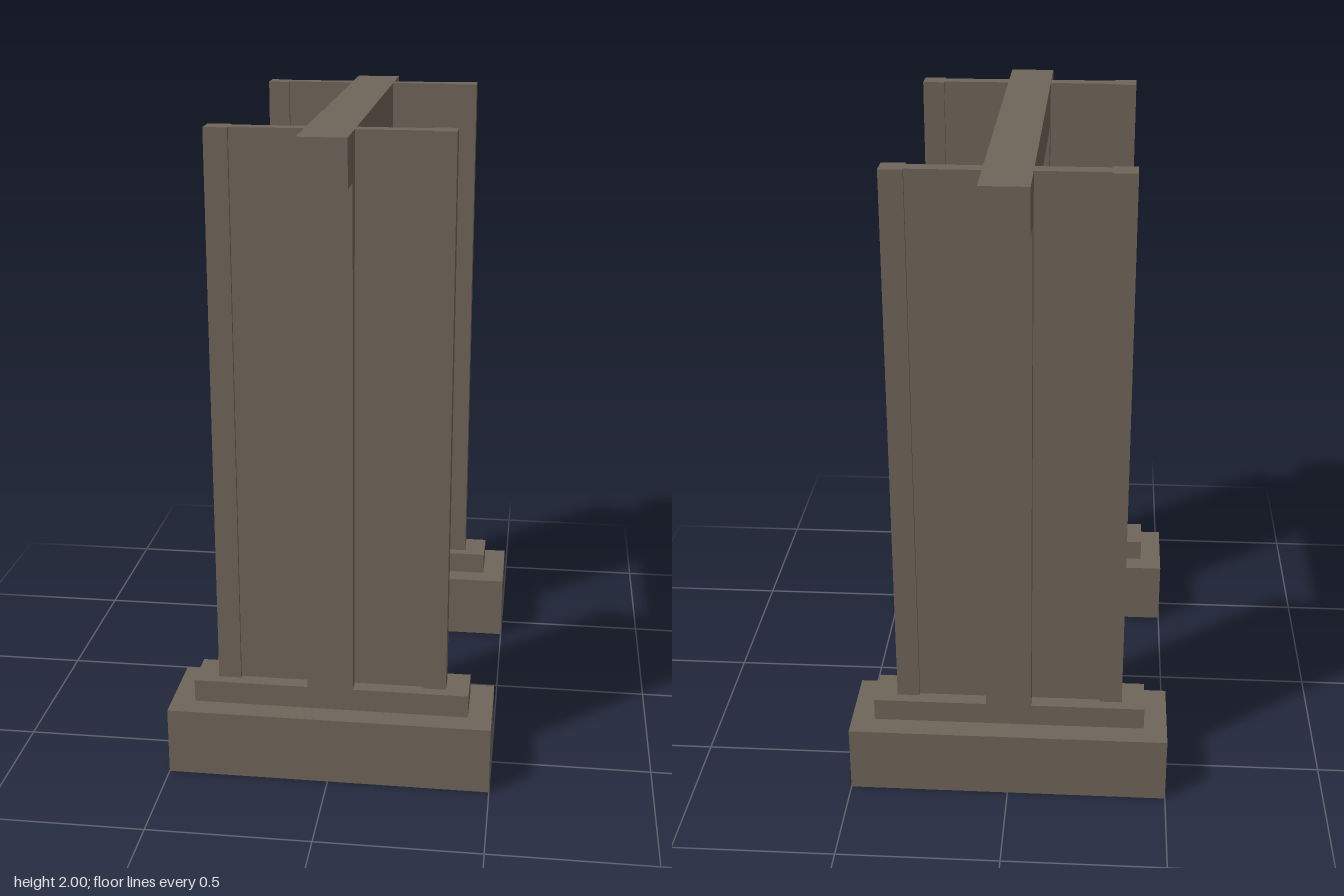
import * as THREE from 'three';

export function createModel() {
  const root = new THREE.Group();
  root.name = 'gateway';
  const stone = new THREE.MeshStandardMaterial({ color: 0x70665a });
  stone.name = 'brownStone';

  // Box given by its min and max on each axis
  function box(parent, name, [x0, x1], [y0, y1], [z0, z1]) {
    const mesh = new THREE.Mesh(new THREE.BoxGeometry(x1 - x0, y1 - y0, z1 - z0), stone);
    mesh.position.set((x0 + x1) / 2, (y0 + y1) / 2, (z0 + z1) / 2);
    mesh.name = name;
    parent.add(mesh);
  }

  // The two end piers, the back one turned half round
  for (const side of ['front', 'back']) {
    const pier = new THREE.Group();
    pier.name = side + 'Pier';
    box(pier, 'footing', [-0.5, 0.5], [0, 0.214], [0.395, 0.677]);
    box(pier, 'plinth', [-0.427, 0.427], [0.214, 0.286], [0.465, 0.606]);
    box(pier, 'centrePost', [-0.071, 0.071], [0.286, 1.86], [0.465, 0.606]);
    for (const s of [-1, 1]) {
      const span = (a, b) => (s > 0 ? [a, b] : [-b, -a]);
      box(pier, 'wallPanel', span(0.071, 0.286), [0.286, 2], [0.512, 0.56]);
      box(pier, 'edgeStrip', span(0.286, 0.356), [0.286, 2], [0.5, 0.571]);
    }
    // Wall carried through behind the beam
    box(pier, 'panelCore', [-0.06, 0.06], [1.86, 1.99], [0.512, 0.56]);
    if (side === 'back') pier.rotation.y = Math.PI;
    root.add(pier);
  }

  // Beam across the top
  box(root, 'topBeam', [-0.071, 0.071], [1.86, 2], [-0.714, 0.714]);

  // Open rectangular frame between the piers
  const shape = new THREE.Shape();
  shape.moveTo(-0.465, 0.215).lineTo(0.465, 0.215).lineTo(0.465, 1.86).lineTo(-0.465, 1.86).closePath();
  const hole = new THREE.Path();
  hole.moveTo(-0.395, 0.32).lineTo(-0.395, 1.753).lineTo(0.395, 1.753).lineTo(0.395, 0.32).closePath();
  shape.holes.push(hole);
  const frameGeo = new THREE.ExtrudeGeometry(shape, { depth: 0.07, bevelEnabled: false });
  frameGeo.translate(0, 0, -0.035).rotateY(Math.PI / 2);
  const frame = new THREE.Mesh(frameGeo, stone);
  frame.name = 'innerFrame';
  root.add(frame);

  // Strap hinges on one face of the frame
  for (const y of [0.275, 1.805]) {
    box(root, 'strapHinge', [-0.05, -0.034], [y - 0.016, y + 0.016], [0.235, 0.46]);
  }
  return root;
}
